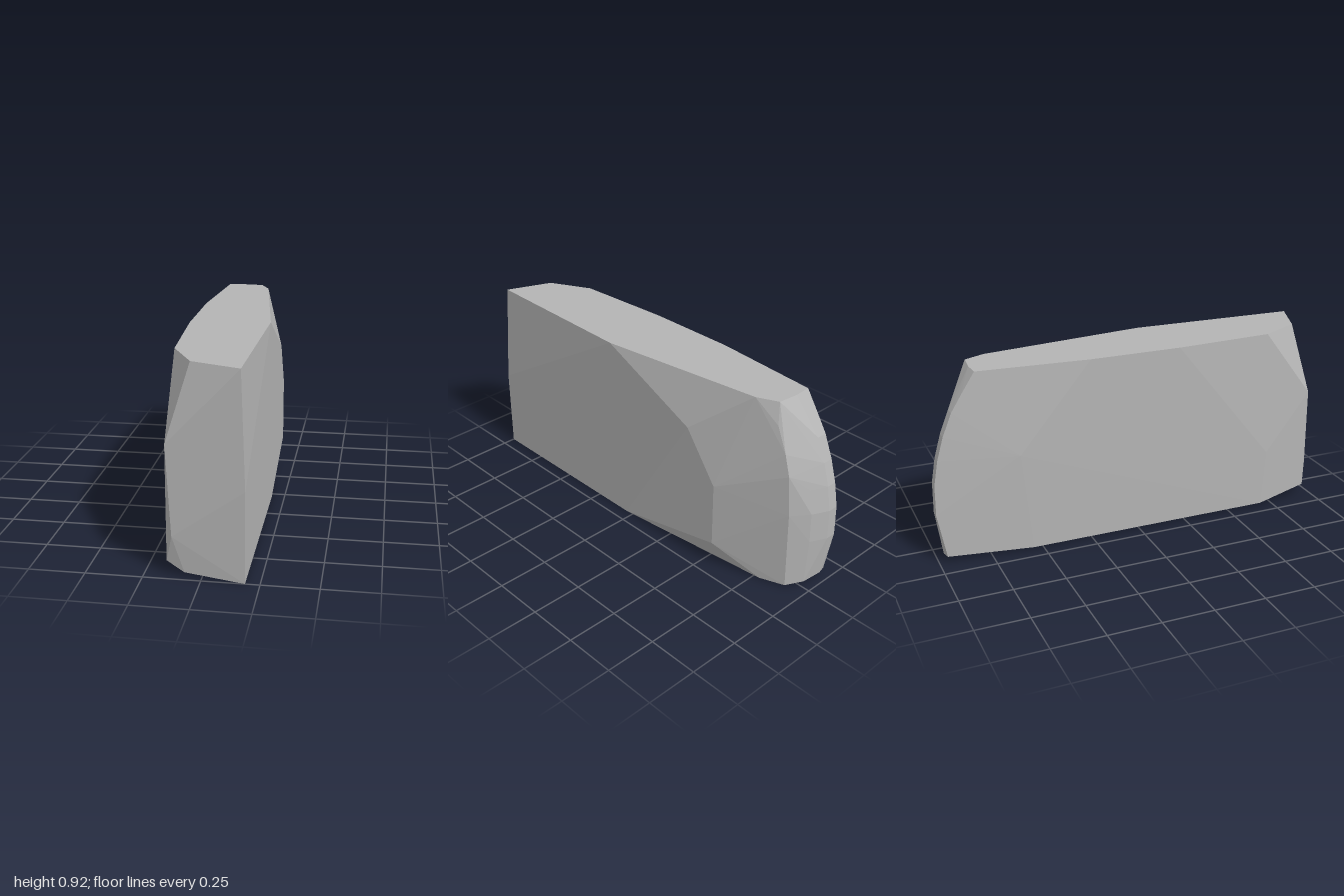
import * as THREE from 'three';
import { ConvexGeometry } from 'three/addons/geometries/ConvexGeometry.js';

export function createModel() {
  const group = new THREE.Group();
  group.name = 'stoneSlab';
  const stone = new THREE.MeshStandardMaterial({ color: 0xb4b4b4 });
  stone.name = 'grey stone';

  // flat top outline
  const top = [
    [0.165, 0.975], [0.185, 0.14], [0.075, -0.68], [0.03, -0.78], [-0.07, -0.79],
    [-0.15, -0.785], [-0.19, -0.25], [-0.19, 0.2], [-0.16, 0.69], [-0.055, 0.89],
  ].map(([x, z]) => [x, 0.92, z]);

  // slightly tilted underside
  const bottom = [
    [0.187, 0, 1], [0.187, 0, 0.04], [0.095, 0, -0.78], [0.055, 0.005, -0.9],
    [-0.02, 0.015, -0.95], [-0.11, 0.03, -0.97], [-0.15, 0.03, -0.96],
    [-0.185, 0.012, -0.55], [-0.19, 0.015, 0.68], [-0.075, 0.02, 0.97],
  ];

  // front corners and flanks
  const sides = [
    [0.187, 0.41, 1], [-0.155, 0.58, 0.95], [-0.155, 0.06, 0.95], [-0.128, 0.18, 0.972],
    [0.182, 0.68, -0.38], [0.18, 0.44, -0.55], [0.18, 0.12, -0.55],
    [-0.19, 0.5, -0.6], [-0.19, 0.3, 0.7],
  ];

  // rounded rear: outer ridge, then the softer edge beside it
  const ridge = [[0.82, -0.85], [0.74, -0.9], [0.63, -0.945], [0.52, -0.977], [0.4, -0.998], [0.25, -1]];
  const rear = [];
  for (const [y, z] of ridge) {
    rear.push([-0.15, y, z], [-0.1, y, z]);
    if (y < 0.6) rear.push([-0.02, y, z + 0.037]);
  }
  rear.push([0.055, 0.82, -0.8], [0.06, 0.7, -0.855], [0.063, 0.6, -0.885], [0.062, 0.4, -0.9]);

  const points = [...top, ...bottom, ...sides, ...rear].map((p) => new THREE.Vector3(...p));
  const slab = new THREE.Mesh(new ConvexGeometry(points), stone);
  slab.name = 'slab';
  group.add(slab);
  return group;
}
